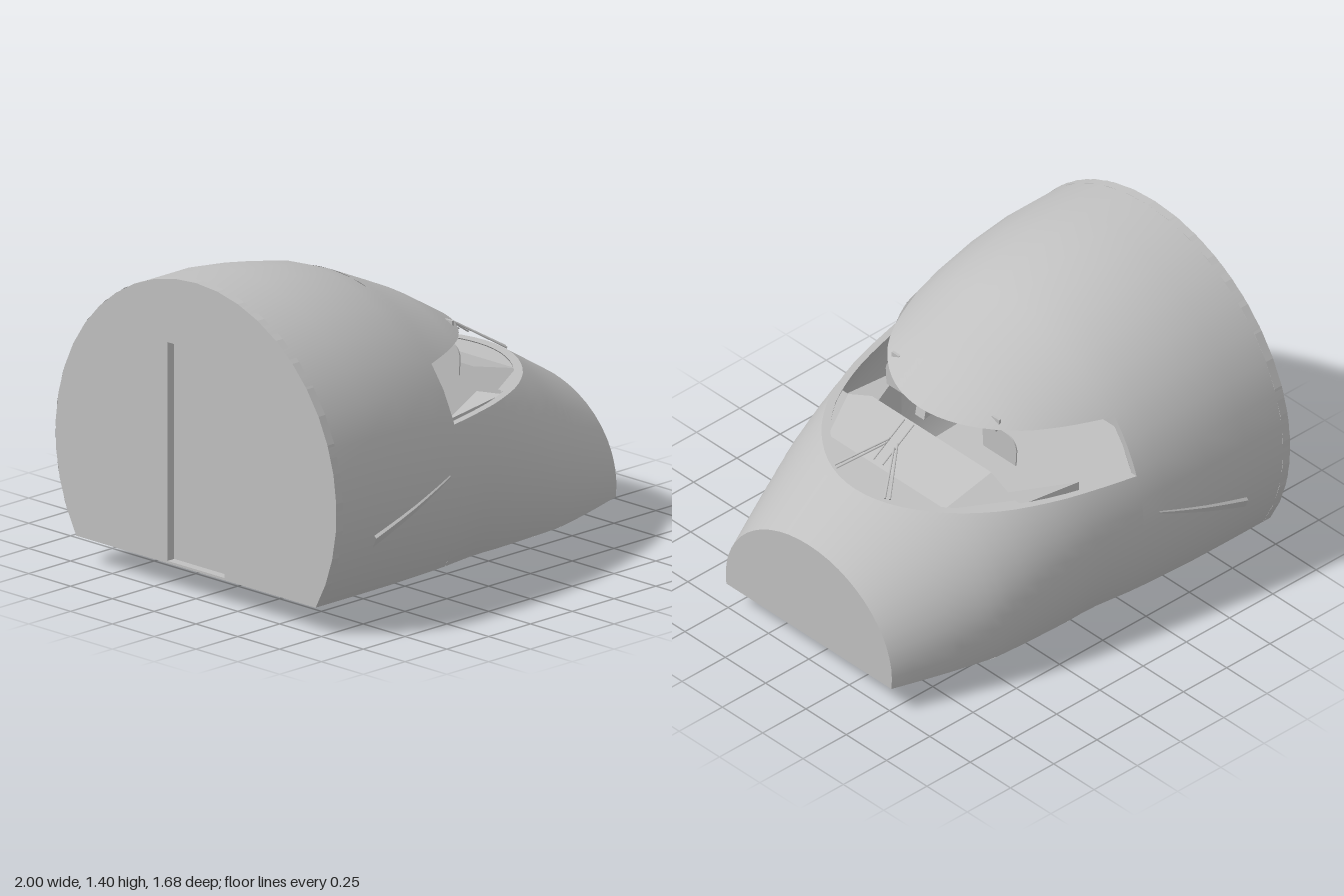
import * as THREE from 'three';
import { ConvexGeometry } from 'three/addons/geometries/ConvexGeometry.js';

const BELLY = 0.12, SILL = 0.76, HEAD = 1.0, WALL = 0.03;

// hull profile stations: x, crown height, half width, height of the widest line
const STATIONS = [
  [-1, 1.4, 0.84, 0.56], [-0.75, 1.4, 0.84, 0.56], [-0.54, 1.375, 0.83, 0.545],
  [-0.32, 1.33, 0.807, 0.52], [-0.2, 1.285, 0.79, 0.5], [0, 1.195, 0.76, 0.47],
  [0.13, 1.135, 0.745, 0.43], [0.36, 1.0, 0.712, 0.36], [0.53, 0.89, 0.68, 0.3],
  [0.74, 0.755, 0.61, 0.24], [1, 0.6, 0.515, 0.17],
];

function section(x, off = 0) {
  let i = 0;
  while (i < STATIONS.length - 2 && x > STATIONS[i + 1][0]) i++;
  const p = STATIONS[i], q = STATIONS[i + 1], t = (x - p[0]) / (q[0] - p[0]);
  const v = k => p[k] + (q[k] - p[k]) * t;
  return { top: v(1) - off, a: v(2) - off, yc: v(3) };
}

const angleAt = (x, y, off = 0) => {
  const s = section(x, off);
  return Math.asin(THREE.MathUtils.clamp((y - s.yc) / (s.top - s.yc), -1, 1));
};
const hullPoint = (x, angle, side, off = 0) => {
  const s = section(x, off);
  return new THREE.Vector3(x, s.yc + (s.top - s.yc) * Math.sin(angle), side * s.a * Math.cos(angle));
};
const hullAt = (x, y, side, off = 0) => hullPoint(x, angleAt(x, y, off), side, off);

// x where the crown comes down to height y
function crownX(y, off) {
  let lo = -0.5, hi = 1;
  for (let i = 0; i < 40; i++) {
    const m = (lo + hi) / 2;
    if (section(m, off).top > y) lo = m; else hi = m;
  }
  return lo;
}

// positions along x, closer together towards the end
const spread = (x0, x1, n) =>
  Array.from({ length: n + 1 }, (_, i) => x0 + (x1 - x0) * Math.sin((i / n) * Math.PI / 2));

// smooth piece of hull between two heights; inner pieces face the cabin
function hullPatch(xs, yLo, yHi, side, off, inner) {
  const n = 12, pos = [], nor = [], idx = [], h = 0.06;
  const flip = (side < 0) !== inner;
  for (const x of xs) {
    const lo = angleAt(x, yLo, off), hi = angleAt(x, yHi, off);
    for (let j = 0; j <= n; j++) {
      const t = lo + (hi - lo) * j / n;
      const x0 = Math.max(-1, x - h), x1 = Math.min(1, x + h);
      const dx = hullPoint(x1, t, side, off).sub(hullPoint(x0, t, side, off));
      const dt = hullPoint(x, t + 0.01, side, off).sub(hullPoint(x, t - 0.01, side, off));
      const normal = dx.cross(dt).normalize().multiplyScalar(flip ? -1 : 1);
      pos.push(...hullPoint(x, t, side, off).toArray());
      nor.push(...normal.toArray());
    }
  }
  for (let i = 0; i < xs.length - 1; i++) for (let j = 0; j < n; j++) {
    const a = i * (n + 1) + j, b = a + n + 1;
    if (flip) idx.push(a, b + 1, b, a, a + 1, b + 1);
    else idx.push(a, b, b + 1, a, b + 1, a + 1);
  }
  const g = new THREE.BufferGeometry();
  g.setAttribute('position', new THREE.Float32BufferAttribute(pos, 3));
  g.setAttribute('normal', new THREE.Float32BufferAttribute(nor, 3));
  g.setIndex(idx);
  return g;
}

// flat-shaded ribbon between two point rows of equal length
function ribbon(a, b) {
  const pts = [];
  for (let i = 0; i < a.length - 1; i++) pts.push(a[i], b[i], b[i + 1], a[i], b[i + 1], a[i + 1]);
  const g = new THREE.BufferGeometry().setFromPoints(pts);
  g.computeVertexNormals();
  return g;
}

// full cross-section outline as a shape
function sectionShape(x, off = 0) {
  const pts = [], lo = angleAt(x, BELLY, off), n = 28;
  for (let i = 0; i <= n; i++) {
    const p = hullPoint(x, lo + (Math.PI - 2 * lo) * i / n, 1, off);
    pts.push(new THREE.Vector2(p.z, p.y));
  }
  return new THREE.Shape(pts);
}

export function createModel() {
  const grey = new THREE.MeshStandardMaterial({ color: 0xc0c0c0, side: THREE.DoubleSide });
  grey.name = 'light grey';
  const model = new THREE.Group();
  model.name = 'cockpitSection';
  const add = (name, geometry, x = 0, y = 0, z = 0) => {
    const mesh = new THREE.Mesh(geometry, grey);
    mesh.name = name;
    mesh.position.set(x, y, z);
    model.add(mesh);
    return mesh;
  };
  const box = (name, w, h, d, x, y, z) => add(name, new THREE.BoxGeometry(w, h, d), x, y, z);
  const rod = (name, a, b, r) => {
    const dir = b.clone().sub(a);
    const mesh = add(name, new THREE.CylinderGeometry(r, r, dir.length(), 6));
    mesh.position.copy(a).lerp(b, 0.5);
    mesh.quaternion.setFromUnitVectors(new THREE.Vector3(0, 1, 0), dir.normalize());
  };
  const V = (x, y, z) => new THREE.Vector3(x, y, z);

  const rearXs = STATIONS.slice(0, 5).map(s => s[0]);
  const noseXs = off => [...spread(-0.2, crownX(SILL, off), 18)];

  for (const side of [1, -1]) {
    // double-walled hull with the window band left open
    for (const off of [0, WALL]) {
      const inner = off > 0, label = inner ? 'Lining' : 'Skin';
      add('rear' + label, hullPatch(rearXs, BELLY, 2, side, off, inner));
      add('lowerNose' + label, hullPatch(noseXs(off), BELLY, SILL, side, off, inner));
      add('noseTip' + label, hullPatch([crownX(SILL, off), 0.82, 0.91, 1], BELLY, 2, side, off, inner));
      add('roof' + label, hullPatch(spread(-0.2, crownX(HEAD, off), 16), HEAD, 2, side, off, inner));
    }
    // window frame edges
    const edge = (y, off, n) => spread(-0.2, crownX(y, off), n).map(x => hullAt(x, y, side, off));
    add('windowSill', ribbon(edge(SILL, 0, 18), edge(SILL, WALL, 18)));
    add('windowHead', ribbon(edge(HEAD, 0, 16), edge(HEAD, WALL, 16)));
    const jamb = off => [0, 1, 2, 3, 4].map(i => hullAt(-0.2, SILL + (HEAD - SILL) * i / 4, side, off));
    add('windowRearEdge', ribbon(jamb(0), jamb(WALL)));

    // slim tapering strake on the flank
    const strake = (y0, y1, off) => [0, 1, 2, 3, 4, 5, 6].map(i =>
      hullAt(-0.76 + 0.08 * i, y0 + (y1 - y0) * i / 6, side, off * (1 - i / 8)));
    const lip = strake(0.4, 0.56, -0.014);
    add('strakeUnderside', ribbon(strake(0.355, 0.552, -0.002), lip));
    add('strakeTop', ribbon(lip, strake(0.41, 0.565, 0)));

    // head-up display pane hung from the roof
    const pane = new THREE.Shape();
    pane.moveTo(-0.1, -0.07);
    pane.lineTo(0.1, -0.07);
    pane.lineTo(0.105, 0.01);
    pane.quadraticCurveTo(0.095, 0.07, 0.03, 0.07);
    pane.lineTo(-0.03, 0.07);
    pane.quadraticCurveTo(-0.095, 0.07, -0.105, 0.01);
    const paneGeo = new THREE.ExtrudeGeometry(pane, { depth: 0.006, bevelEnabled: false });
    add('displayPane', paneGeo.rotateY(Math.PI / 2), 0.172, 0.888, side * 0.3);
    rod('displayArm', V(0.177, 0.94, side * 0.28), V(0.205, 1.02, side * 0.31), 0.006);
    box('displayMount', 0.012, 0.035, 0.045, 0.205, 1.02, side * 0.31);

    // windscreen arms and braces
    rod('centreArm', V(0.42, 0.955, side * 0.028), V(0.6, 0.835, side * 0.028), 0.004);
    for (const d of [0, 0.02])
      rod('brace', V(0.51 + d, 0.9 - d * 0.6, side * 0.025), V(0.69 + d * 0.5, 0.775, side * (0.17 - d)), 0.005);

    // cabin side console
    add('sideConsole', new ConvexGeometry([
      V(-0.05, 0.7, side * 0.55), V(0.29, 0.74, side * 0.54), V(0.29, 0.72, side * 0.39),
      V(-0.05, 0.35, side * 0.55), V(0.29, 0.35, side * 0.54), V(0.29, 0.35, side * 0.39)]));

    // round-ended belly leg
    const leg = new THREE.Shape();
    leg.moveTo(-0.035, 0.13);
    leg.lineTo(-0.035, 0.035);
    leg.absarc(0, 0.035, 0.035, Math.PI, Math.PI * 2, false);
    leg.lineTo(0.035, 0.13);
    const legGeo = new THREE.ExtrudeGeometry(leg, { depth: 0.025, bevelEnabled: false });
    add('bellyLeg', legGeo.rotateY(Math.PI / 2), 0.138, 0, side * 0.305);

    // belly rails
    for (const z of [0.19, 0.42]) box('bellyRail', 0.3, 0.022, 0.026, -0.15, 0.111, side * z);
  }

  // flat belly and nose bulkhead
  const bellyXs = STATIONS.map(s => s[0]);
  add('belly', ribbon(bellyXs.map(x => hullAt(x, BELLY, 1)), bellyXs.map(x => hullAt(x, BELLY, -1))));
  add('noseBulkhead', new THREE.ShapeGeometry(sectionShape(1)).rotateY(Math.PI / 2), 1, 0, 0);

  // rear bulkhead with a recessed door
  const wall = sectionShape(-1);
  wall.holes.push(new THREE.Path([[-0.17, 0.13], [-0.17, 1.1], [0.17, 1.1], [0.17, 0.13]]
    .map(p => new THREE.Vector2(...p))));
  const wallGeo = new THREE.ExtrudeGeometry(wall, { depth: 0.04, bevelEnabled: false });
  add('rearBulkhead', wallGeo.rotateY(Math.PI / 2), -1, 0, 0);
  box('door', 0.01, 0.98, 0.35, -0.955, 0.615, 0);

  // instrument panel, deck behind the windscreen and glare hood
  box('instrumentPanel', 0.03, 0.5, 1.08, 0.305, 0.5, 0);
  const deckXs = spread(0.29, crownX(SILL, WALL), 12);
  const deckRow = side => deckXs.map(x => hullAt(x, SILL, side, WALL).setY(SILL - 0.004));
  add('deck', ribbon(deckRow(1), deckRow(-1)));
  const hood = [];
  for (const s of [1, -1])
    hood.push(V(0.29, 0.75, s * 0.53), V(0.29, 0.825, s * 0.37), V(0.55, 0.757, s * 0.36), V(0.29, 0.75, s * 0.37));
  add('glareHood', new ConvexGeometry(hood));

  // bracket under the front of the roof
  add('roofBracket', new ConvexGeometry([1, -1].flatMap(s =>
    [V(0.295, 1, s * 0.028), V(0.295, 0.965, s * 0.028), V(0.36, 0.95, s * 0.028), V(0.35, 1, s * 0.028)])));

  return model;
}
